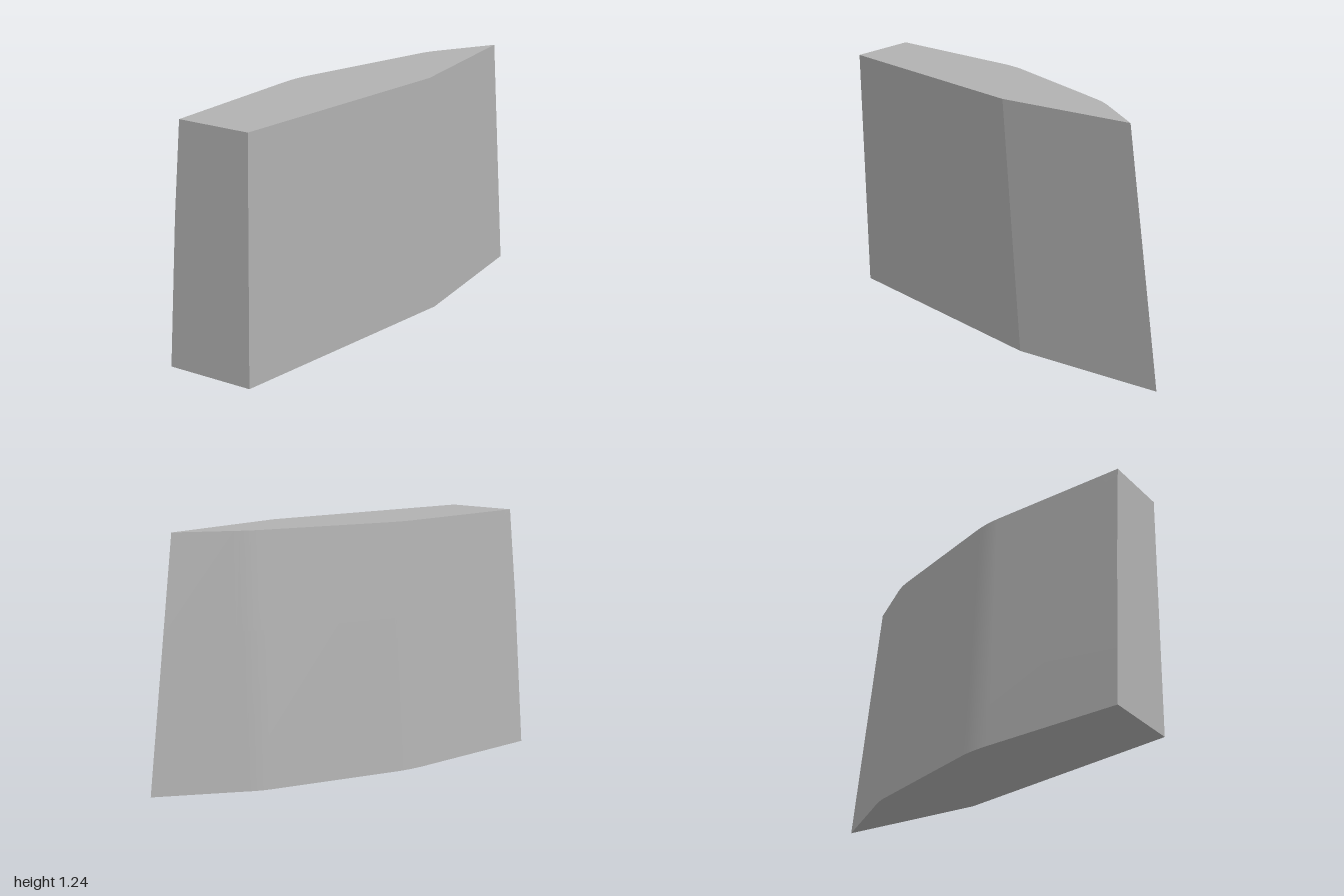
import * as THREE from 'three';

const HEIGHT = 1.237;

// Rounded side seen from above: straight runs [x, z] joined by two soft bends
function sideCurve(start, bends, end) {
  const pts = [start];
  for (const bend of bends) {
    const [a, c, b] = bend.map(([x, z]) => new THREE.Vector2(x, z));
    pts.push(...new THREE.QuadraticBezierCurve(a, c, b).getPoints(5).map(p => [p.x, p.y]));
  }
  pts.push(end);
  return pts;
}

const bottomCurve = sideCurve([-0.373, 1],
  [[[-0.28, 0.28], [-0.267, 0.18], [-0.24, 0.11]], [[0.03, -0.54], [0.058, -0.6], [0.11, -0.66]]],
  [0.37, -1]);
const topCurve = sideCurve([-0.27, 1],
  [[[-0.185, 0.28], [-0.175, 0.2], [-0.14, 0.12]], [[0.12, -0.49], [0.148, -0.55], [0.19, -0.6]]],
  [0.37, -0.83]);

// Closed outlines: rounded side, back edge, flat side with one bend, front
const bottom = [...bottomCurve, [0.37, -0.23], [0.07, 1]];
const top = [...topCurve, [0.37, -0.13], [0.095, 1]];

// Middle outline, bowed out very slightly near the front
const t = 0.62;
const middle = bottom.map(([x, z], i) => {
  const bow = i < bottomCurve.length ? 0.006 * Math.max(0, z) : 0;
  return [x + (top[i][0] - x) * t - bow, z + (top[i][1] - z) * t];
});
const rows = [[bottom, 0], [middle, HEIGHT * t], [top, HEIGHT]];

function geometryFrom(positions, index) {
  const g = new THREE.BufferGeometry();
  g.setAttribute('position', new THREE.Float32BufferAttribute(positions, 3));
  g.setIndex(index);
  g.computeVertexNormals();
  return g;
}

// Wall through the given outline points, smooth along its length
function wall(ids) {
  const positions = [], index = [], n = ids.length;
  for (const [outline, y] of rows)
    for (const i of ids) positions.push(outline[i][0], y, outline[i][1]);
  for (let r = 0; r < rows.length - 1; r++)
    for (let i = 0; i < n - 1; i++) {
      const a = r * n + i, b = a + 1, c = a + n, d = c + 1;
      index.push(a, c, b, b, c, d);
    }
  return geometryFrom(positions, index);
}

// Flat end cap as a fan over a convex outline
function cap(outline, y, up) {
  const positions = outline.flatMap(([x, z]) => [x, y, z]);
  const index = [];
  for (let i = 1; i < outline.length - 1; i++)
    index.push(0, ...(up ? [i + 1, i] : [i, i + 1]));
  return geometryFrom(positions, index);
}

export function createModel() {
  const group = new THREE.Group();
  group.name = 'taperedBlock';
  const grey = new THREE.MeshStandardMaterial({ color: 0xb2b2b2 });
  grey.name = 'grey';
  const add = (name, geometry) => {
    const mesh = new THREE.Mesh(geometry, grey);
    mesh.name = name;
    group.add(mesh);
  };

  const back = bottomCurve.length - 1, bend = back + 1, front = back + 2;
  add('roundedSide', wall(bottomCurve.map((_, i) => i)));
  add('flatSideBack', wall([back, bend]));
  add('flatSideFront', wall([bend, front]));
  add('frontFace', wall([front, 0]));
  add('topFace', cap(top, HEIGHT, true));
  add('bottomFace', cap(bottom, 0, false));
  return group;
}
